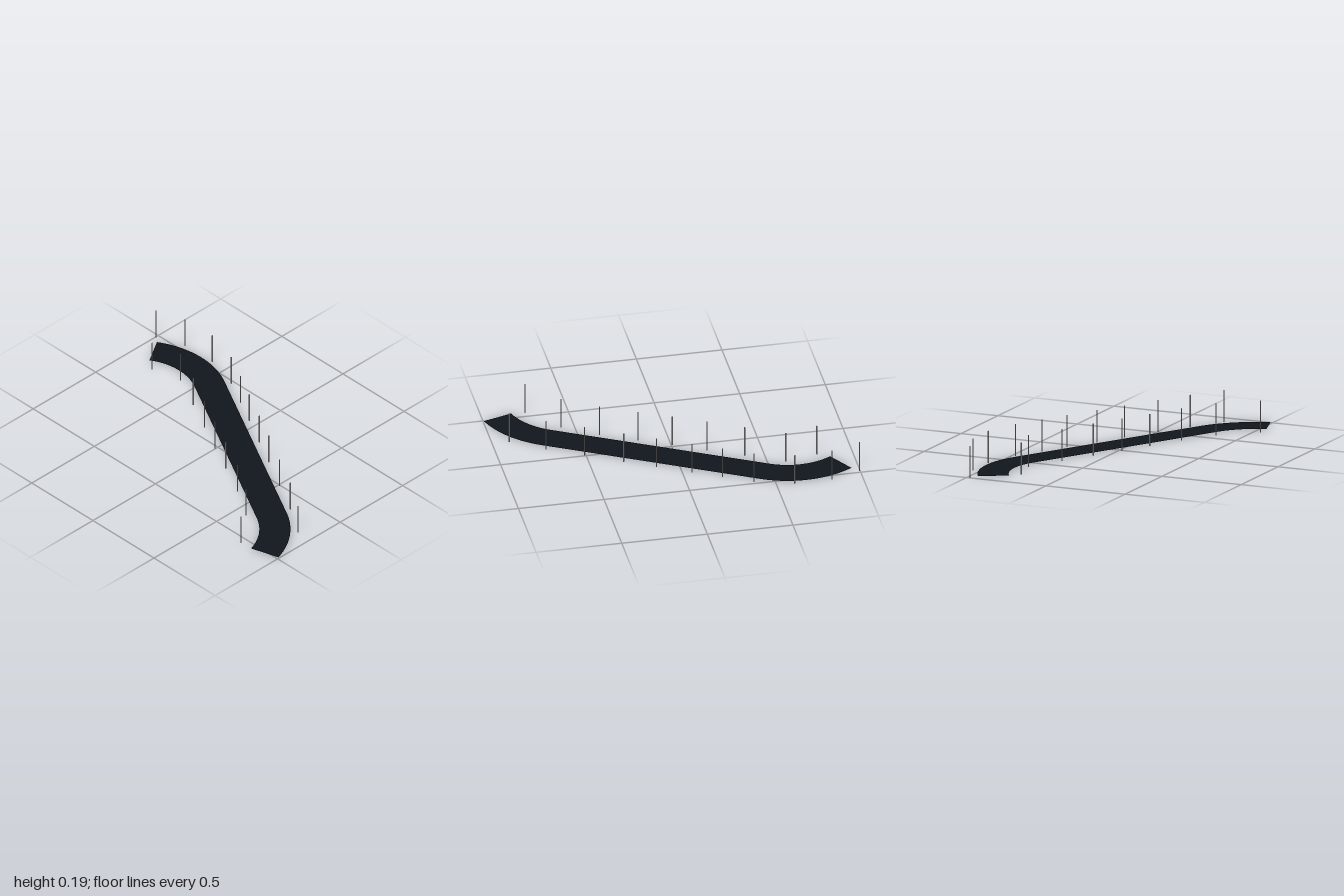
import * as THREE from 'three';

const ROAD_Y = 0.004, HALF_WIDTH = 0.089;
const POST_HEIGHT = 0.187, POST_RADIUS = 0.0035;

// Bends of the centre line: centre, radius, and start/end angle of the outward normal
// (measured from -z towards +x, in degrees).
const BENDS = [
  { x: -0.675, z: 0.008, r: 0.446, from: -31.7, to: 28.4 },
  { x: 0.457, z: 0.657, r: 0.476, from: 28.4, to: 72.8 },
];

// Cross-sections along the road; the straight lies between the two bends.
function roadSections() {
  const sections = [];
  const steps = 32;
  for (const b of BENDS) {
    for (let i = 0; i <= steps; i++) {
      const a = THREE.MathUtils.degToRad(THREE.MathUtils.lerp(b.from, b.to, i / steps));
      const nx = Math.sin(a), nz = -Math.cos(a);
      sections.push({ x: b.x + b.r * nx, z: b.z + b.r * nz, nx, nz });
    }
  }
  return sections;
}

function roadGeometry() {
  const positions = [], index = [];
  roadSections().forEach((s, i) => {
    for (const side of [1, -1]) {
      positions.push(s.x + side * HALF_WIDTH * s.nx, ROAD_Y, s.z + side * HALF_WIDTH * s.nz);
    }
    if (i > 0) {
      const a = 2 * (i - 1);
      index.push(a, a + 1, a + 2, a + 1, a + 3, a + 2);
    }
  });
  const geometry = new THREE.BufferGeometry();
  geometry.setAttribute('position', new THREE.Float32BufferAttribute(positions, 3));
  geometry.setIndex(index);
  geometry.computeVertexNormals();
  return geometry;
}

// Post positions (x, z) along the two edges of the road
const OUTER_POSTS = [
  [-0.997, -0.48], [-0.823, -0.541], [-0.605, -0.547], [-0.381, -0.479],
  [-0.215, -0.39], [-0.055, -0.305], [0.131, -0.203], [0.304, -0.109],
  [0.509, 0.005], [0.711, 0.116], [0.9, 0.24],
];
const INNER_POSTS = [
  [-0.795, -0.25], [-0.605, -0.293], [-0.388, -0.182], [-0.189, -0.078],
  [-0.006, 0.018], [0.175, 0.109], [0.379, 0.214], [0.577, 0.34], [0.745, 0.543],
];

export function createModel() {
  const model = new THREE.Group();
  model.name = 'roadWithPosts';

  // Flat road ribbon
  const road = new THREE.Mesh(
    roadGeometry(),
    new THREE.MeshStandardMaterial({ color: 0x10161c, side: THREE.DoubleSide })
  );
  road.name = 'road';
  model.add(road);

  // Slim marker posts
  const postGeometry = new THREE.CylinderGeometry(POST_RADIUS, POST_RADIUS, POST_HEIGHT, 8);
  postGeometry.translate(0, POST_HEIGHT / 2, 0);
  const postMaterial = new THREE.MeshStandardMaterial({ color: 0xcccccc });
  const addPosts = (name, spots) => {
    const row = new THREE.Group();
    row.name = name;
    for (const [x, z] of spots) {
      const post = new THREE.Mesh(postGeometry, postMaterial);
      post.name = 'post';
      post.position.set(x, 0, z);
      row.add(post);
    }
    model.add(row);
  };
  addPosts('outerPosts', OUTER_POSTS);
  addPosts('innerPosts', INNER_POSTS);

  return model;
}
